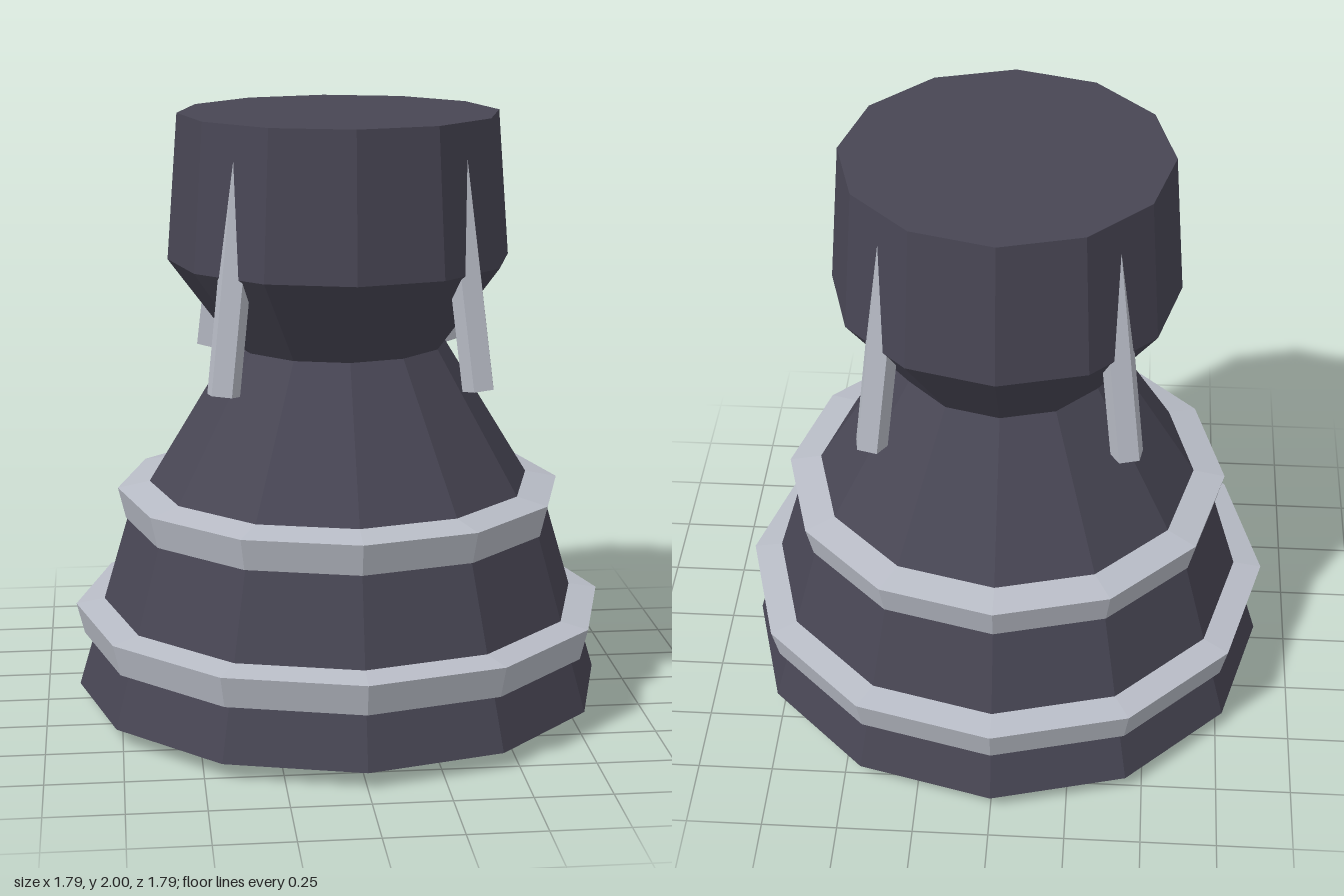
import * as THREE from 'three';

const SIDES = 12;

export function createModel() {
  const model = new THREE.Group();
  const flat = (name, color) => new THREE.MeshStandardMaterial({ name, color, flatShading: true });
  const dark = flat('darkMetal', 0x484654);
  const grey = flat('lightGrey', 0xb8bcc6);
  const copper = flat('copper', 0xb87333);

  const add = (name, geometry, material, parent = model) => {
    const mesh = new THREE.Mesh(geometry, material);
    mesh.name = name;
    parent.add(mesh);
    return mesh;
  };
  // Profiles are [radius, height] pairs; running upwards they face outwards
  const turn = (name, profile, material) =>
    add(name, new THREE.LatheGeometry(profile.map(([r, y]) => new THREE.Vector2(r, y)), SIDES), material);

  // Outer shell: flared bell, throat and upper chamber
  turn('bellShell', [
    [0.8, 0.055], [0.89, 0.055], [0.717, 0.64], [0.355, 1.235],
  ], dark);
  turn('chamber', [
    [0.355, 1.235], [0.567, 1.52], [0.53, 2], [0, 2],
  ], dark);

  // Hollow inside of the bell
  turn('bellLining', [
    [0, 1.2], [0.345, 1.2], [0.69, 0.64], [0.81, 0.06],
  ], dark);
  turn('innerBand', [[0.646, 0.7], [0.658, 0.68]], grey);

  // Copper lip around the mouth
  turn('mouthRim', [
    [0.65, 0.07], [0.75, 0], [0.82, 0.055], [0.81, 0.07], [0.65, 0.07],
  ], copper);

  // Two raised hoops around the bell
  turn('upperHoop', [
    [0.7, 0.64], [0.722, 0.64], [0.747, 0.745], [0.638, 0.767],
  ], grey);
  turn('lowerHoop', [
    [0.82, 0.237], [0.87, 0.237], [0.896, 0.342], [0.79, 0.36],
  ], grey);

  // Four struts leaning into the chamber on the diagonals
  const up = new THREE.Vector3(0, 1, 0);
  for (let i = 0; i < 4; i++) {
    const angle = Math.PI / 4 + (i * Math.PI) / 2;
    const at = (r, y) => new THREE.Vector3(Math.sin(angle) * r, y, Math.cos(angle) * r);
    const foot = at(0.58, 1.15);
    const head = at(0.455, 1.95);
    const axis = head.clone().sub(foot);
    const strut = add('strut', new THREE.CylinderGeometry(0.055, 0.055, axis.length(), 5), grey);
    strut.position.copy(foot).add(head).multiplyScalar(0.5);
    strut.quaternion.setFromUnitVectors(up, axis.normalize());
    strut.rotateY(angle);
  }
  return model;
}
